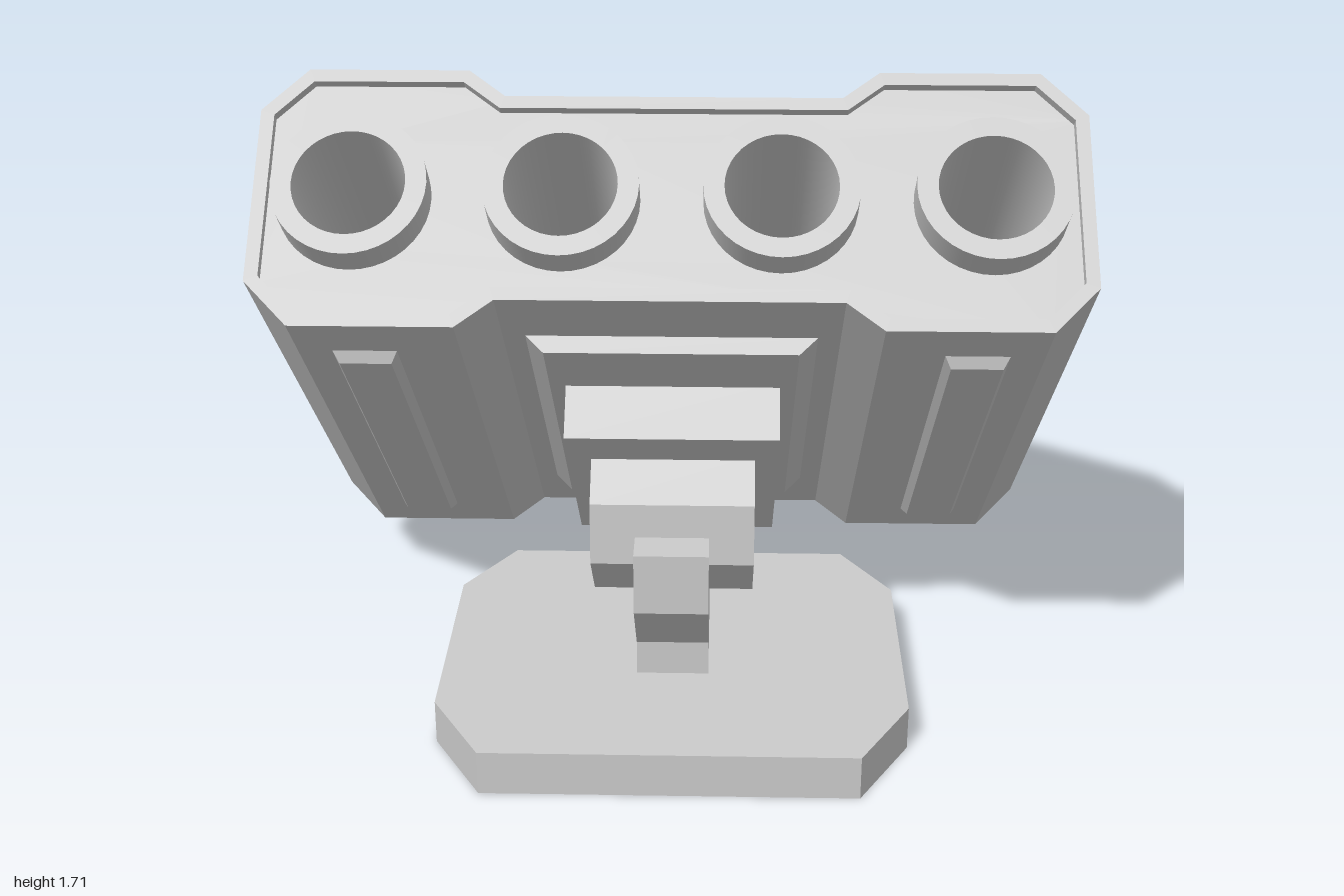
import * as THREE from 'three';
import { toCreasedNormals } from 'three/addons/utils/BufferGeometryUtils.js';

const material = new THREE.MeshStandardMaterial({ color: 0xcccccc });

function add(parent, name, geometry) {
  const mesh = new THREE.Mesh(geometry, material);
  mesh.name = name;
  parent.add(mesh);
  return mesh;
}

const shapeOf = (pts) => new THREE.Shape(pts.map(([x, y]) => new THREE.Vector2(x, y)));

// Extrude along z, centred on z = 0
function slab(shape, depth) {
  const geo = new THREE.ExtrudeGeometry(shape, { depth, bevelEnabled: false, curveSegments: 32 });
  return geo.translate(0, 0, -depth / 2);
}

// Extrude a (z, y) side profile across x
const sideSlab = (pts, width) => slab(shapeOf(pts), width).rotateY(-Math.PI / 2);

// Box standing on y = 0 whose top is inset on its sides and ends
function taperedBox(w, h, l, insetX, insetZ) {
  const geo = new THREE.BoxGeometry(w, h, l).translate(0, h / 2, 0);
  const p = geo.attributes.position;
  for (let i = 0; i < p.count; i++) {
    if (p.getY(i) < h / 2) continue;
    p.setX(i, p.getX(i) - Math.sign(p.getX(i)) * insetX);
    p.setZ(i, p.getZ(i) - Math.sign(p.getZ(i)) * insetZ);
  }
  geo.computeVertexNormals();
  return geo;
}

// Pod cross-section: chamfered ends with a waist, shrunk by an inset
function podOutline(i) {
  const q = [
    [1 - i, 0.227 - 0.4 * i], [0.89 - 0.4 * i, 0.34 - i],
    [0.5 + 0.35 * i, 0.34 - i], [0.41 + 0.35 * i, 0.27 - i],
  ];
  const top = [...q, ...q.map(([x, y]) => [-x, y]).reverse()];
  return [...top, ...top.map(([x, y]) => [-x, -y])];
}

export function createModel() {
  const model = new THREE.Group();
  model.name = 'launcher';

  // Base plate: elongated octagon
  const base = shapeOf([
    [-0.48, -0.23], [0.48, -0.23], [0.615, -0.02], [0.615, 0.59],
    [0.48, 0.815], [-0.48, 0.815], [-0.615, 0.59], [-0.615, -0.02],
  ]);
  add(model, 'basePlate', slab(base, 0.12).rotateX(Math.PI / 2).translate(0, 0.06, 0));

  // Upright arm and the knuckle it carries
  add(model, 'supportArm', sideSlab([
    [0.15, 0.11], [0.435, 0.11], [0.435, 0.215], [0.585, 0.39],
    [0.585, 0.555], [0.1, 0.555], [0, 0.39], [0.15, 0.215],
  ], 0.19));
  add(model, 'knuckle', sideSlab([
    [0.17, 0.34], [0.34, 0.325], [0.49, 0.48], [0.48, 0.645],
    [0.38, 0.74], [0.31, 0.73], [0.09, 0.51], [0.075, 0.43],
  ], 0.42));

  // Tilted pod: local z is the firing direction
  const pod = new THREE.Group();
  pod.name = 'pod';
  pod.position.set(0, 0.94, -0.045);
  pod.rotation.x = -Math.PI / 4;
  model.add(pod);

  const tubeX = [-0.76, -0.26, 0.26, 0.76];

  // Body with a bore for each tube
  const body = shapeOf(podOutline(0));
  for (const x of tubeX) {
    body.holes.push(new THREE.Path().absarc(x, 0, 0.16, 0, Math.PI * 2, true));
  }
  add(pod, 'podBody', slab(body, 1.45));

  // Raised rim around each end
  const rim = shapeOf(podOutline(0));
  rim.holes.push(shapeOf(podOutline(0.033)));
  for (const s of [-1, 1]) add(pod, 'endRim', slab(rim, 0.025).translate(0, 0, s * 0.7375));

  // Open tubes running the full length
  const L = 0.815, R = 0.185, r = 0.135;
  const profile = [[R, -L], [R, L], [r, L], [r, -L], [R, -L]].map(([x, y]) => new THREE.Vector2(x, y));
  const tube = toCreasedNormals(new THREE.LatheGeometry(profile, 40).rotateX(Math.PI / 2), 0.6);
  for (const x of tubeX) add(pod, 'tube', tube).position.x = x;

  // Centre panel and side strips, on the upper and lower faces
  for (const turn of [0, Math.PI]) {
    const face = new THREE.Group();
    face.name = turn ? 'lowerPanels' : 'upperPanels';
    face.rotation.z = turn;
    pod.add(face);
    add(face, 'centrePanel', taperedBox(0.71, 0.045, 1.07, 0.045, 0)).position.y = 0.27;
    for (const s of [-1, 1]) {
      add(face, 'sideStrip', taperedBox(0.155, 0.024, 1.2, 0.015, 0.024)).position.set(s * 0.73, 0.34, 0);
    }
  }

  // Mounting plate under the pod
  add(pod, 'mountPlate', new THREE.BoxGeometry(0.54, 0.156, 0.735)).position.set(0, -0.378, -0.053);

  return model;
}
